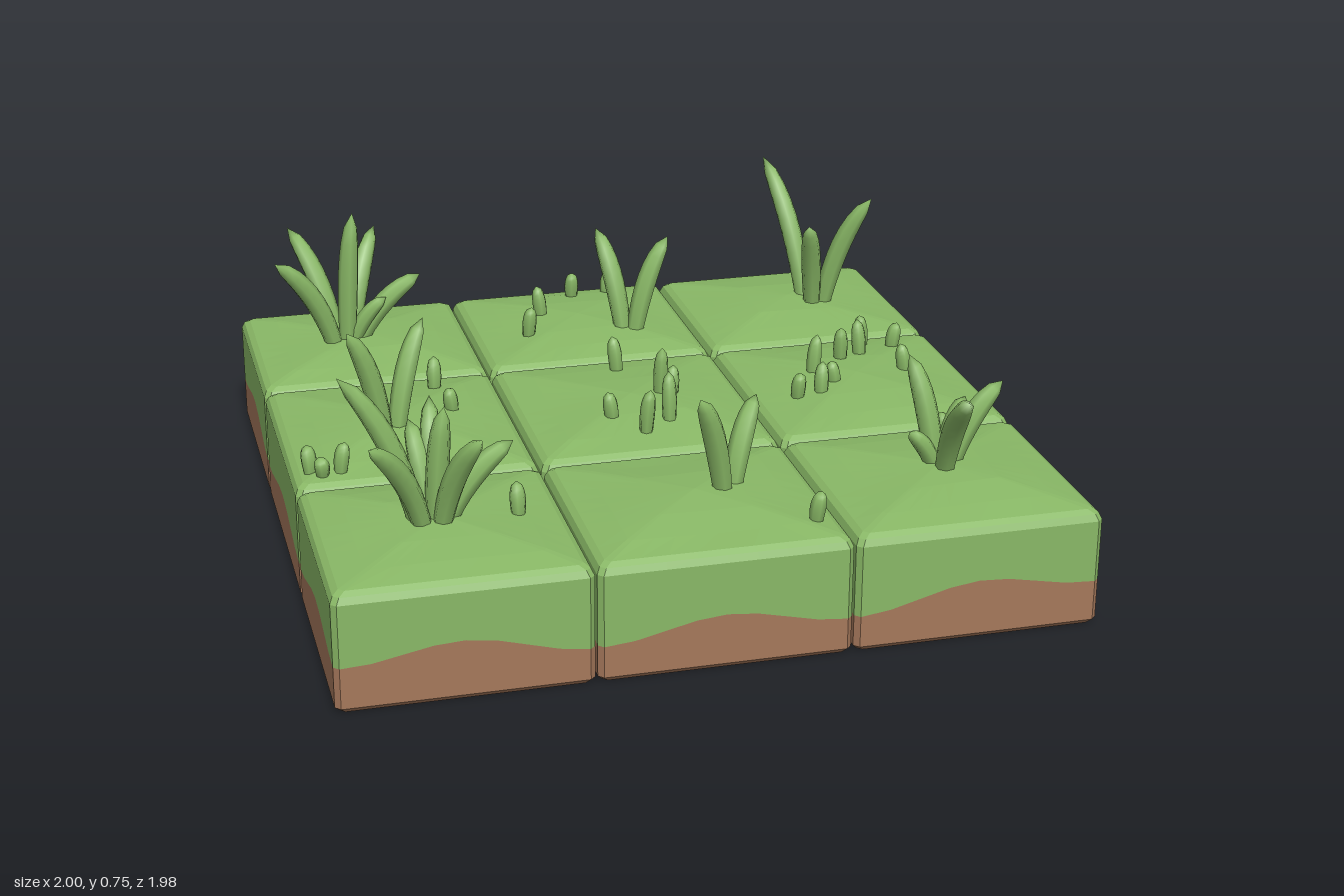
import * as THREE from 'three';
import { mergeVertices } from 'three/addons/utils/BufferGeometryUtils.js';

const grass = new THREE.MeshStandardMaterial({ color: 0x89b866 });
grass.name = 'grass green';
const soil = new THREE.MeshStandardMaterial({ color: 0xa5785b });
soil.name = 'soil brown';

const lerp = THREE.MathUtils.lerp;
const SEG = 8; // segments along each side of a tile

// One square of turf: stacked outline rows, wavy soil line, domed top
function tile(x0, x1, z0, z1) {
  const cx = (x0 + x1) / 2, cz = (z0 + z1) / 2;
  const hx = (x1 - x0) / 2, hz = (z1 - z0) / 2;
  const chamfer = 0.014;
  const cornerY = (sx, sz) => (Math.abs(cx + sx * hx) > 0.9 && Math.abs(cz + sz * hz) > 0.9 ? 0.125 : 0.1);
  // front, right, back, left: start corner and end corner
  const corners = [[-1, 1], [1, 1], [1, -1], [-1, -1]];

  function row(inset, scale, y, wavy, bumpy) {
    const pts = [];
    for (let s = 0; s < 4; s++) {
      const a = corners[s], b = corners[(s + 1) % 4];
      const dx = (b[0] - a[0]) / 2, dz = (b[1] - a[1]) / 2;
      for (let i = 0; i <= SEG; i++) {
        const t = i / SEG, u = 2 * t - 1;
        // position along the side, then outward distance to the side
        const px = dx ? dx * u * (hx - inset - chamfer) : a[0] * (hx - inset);
        const pz = dz ? dz * u * (hz - inset - chamfer) : a[1] * (hz - inset);
        const x = cx + px * scale, z = cz + pz * scale;
        let h = y;
        if (wavy) h = lerp(cornerY(...a), cornerY(...b), t) + 0.052 * Math.sin(Math.PI * t) ** 2;
        if (bumpy) h += 0.004 * Math.sin(x * 9 + z * 5) * Math.cos(z * 7 - x * 3);
        pts.push([x, h, z]);
      }
    }
    return pts;
  }

  const rows = [
    row(0, 0, 0), row(0.012, 1, 0), row(0, 1, 0.014), row(0, 1, 0, true),
    row(0, 1, 0.295), row(0.008, 1, 0.313), row(0.024, 1, 0.323),
    row(0.024, 0.75, 0.336, false, true), row(0.024, 0.4, 0.35, false, true), row(0, 0, 0.358),
  ];
  const pos = [];
  let soilCount = 0;
  for (let r = 0; r < rows.length - 1; r++) {
    const n = rows[r].length;
    for (let j = 0; j < n; j++) {
      const k = (j + 1) % n;
      const a = rows[r][j], b = rows[r][k], c = rows[r + 1][k], d = rows[r + 1][j];
      if (r > 0) pos.push(...a, ...b, ...c);
      if (r === 0) pos.push(...a, ...c, ...d);
      else if (r < rows.length - 2) pos.push(...a, ...c, ...d);
    }
    if (r === 2) soilCount = pos.length / 3;
  }
  const geo = new THREE.BufferGeometry();
  geo.setAttribute('position', new THREE.Float32BufferAttribute(pos, 3));
  geo.computeVertexNormals();
  geo.addGroup(0, soilCount, 0);
  geo.addGroup(soilCount, pos.length / 3 - soilCount, 1);
  const mesh = new THREE.Mesh(geo, [soil, grass]);
  mesh.name = 'turfTile';
  return mesh;
}

// Curved leaf: a tube whose radius swells, then tapers to the tip
function blade(bx, bz, tx, tz, top, radius, name = 'grassBlade') {
  const base = new THREE.Vector3(bx, 0.325, bz);
  const tip = new THREE.Vector3(tx, top, tz);
  const mid = new THREE.Vector3(lerp(bx, tx, 0.28), lerp(0.325, top, 0.66), lerp(bz, tz, 0.28));
  const curve = new THREE.QuadraticBezierCurve3(base, mid, tip);
  const rings = 9, sides = 7;
  const geo = new THREE.TubeGeometry(curve, rings, radius, sides);
  const p = geo.attributes.position, v = new THREE.Vector3();
  for (let i = 0; i <= rings; i++) {
    const t = i / rings, c = curve.getPointAt(t);
    const k = (0.75 + 0.6 * t) * Math.sqrt(1 - t ** 2.2);
    for (let j = 0; j <= sides; j++) {
      const n = i * (sides + 1) + j;
      v.fromBufferAttribute(p, n).sub(c).multiplyScalar(k).add(c);
      p.setXYZ(n, v.x, v.y, v.z);
    }
  }
  geo.deleteAttribute('uv');
  geo.deleteAttribute('normal');
  const smooth = mergeVertices(geo, 1e-4);
  smooth.computeVertexNormals();
  const mesh = new THREE.Mesh(smooth, grass);
  mesh.name = name;
  return mesh;
}

// Tufts: base x, z, then blades as tip x, z, height
const TUFTS = [
  { at: [-0.69, 0.66], tips: [[-0.92, 0.66, 0.75], [-0.48, 0.66, 0.54], [-0.67, 0.53, 0.63], [-0.73, 0.55, 0.58],
    [-0.87, 0.82, 0.62], [-0.59, 0.83, 0.62], [-0.66, 0.69, 0.66]] },
  { at: [-0.72, -0.66], tips: [[-0.86, -0.84, 0.65], [-0.6, -0.83, 0.64], [-0.93, -0.57, 0.63], [-0.69, -0.64, 0.745],
    [-0.49, -0.67, 0.53], [-0.55, -0.74, 0.46], [-0.6, -0.63, 0.48]] },
  { at: [0.74, -0.65], tips: [[0.64, -0.88, 0.75], [0.89, -0.56, 0.69], [0.68, -0.52, 0.63]] },
  { at: [0.68, 0.64], tips: [[0.85, 0.63, 0.56], [0.65, 0.9, 0.62], [0.61, 0.56, 0.63], [0.77, 0.57, 0.5], [0.58, 0.66, 0.45]] },
  { at: [0.12, -0.54], tips: [[0.05, -0.67, 0.63], [0.25, -0.57, 0.62]] },
  { at: [0.09, 0.65], tips: [[0.19, 0.56, 0.56], [-0.01, 0.73, 0.63]] },
  { at: [-0.7, 0.06], tips: [[-0.59, -0.03, 0.63], [-0.82, 0.12, 0.66]] },
];

// Little sprouts: x, z, top height
const SPROUTS = [
  [0.02, -0.88, 0.42], [0.14, -0.91, 0.4], [-0.11, -0.72, 0.44], [-0.18, -0.58, 0.43],
  [-0.53, -0.23, 0.43], [-0.51, -0.05, 0.41], [-0.75, 0, 0.46], [-0.95, 0.25, 0.4], [-0.92, 0.28, 0.38], [-0.87, 0.27, 0.41],
  [0.01, -0.24, 0.44], [0.08, -0.01, 0.49], [0.11, 0, 0.43], [-0.09, 0.12, 0.42], [-0.02, 0.22, 0.46], [0.06, 0.17, 0.48],
  [0.77, -0.27, 0.43], [0.85, -0.23, 0.41], [0.73, -0.17, 0.45], [0.66, -0.14, 0.45], [0.55, -0.06, 0.46],
  [0.82, -0.03, 0.42], [0.46, 0.08, 0.41], [0.53, 0.08, 0.43], [0.59, 0.02, 0.41],
  [0.26, 0.87, 0.41], [-0.47, 0.66, 0.42], [0.75, 0.47, 0.42],
];

export function createModel() {
  const model = new THREE.Group();
  model.name = 'grassPatch';

  // Three by three tiles with narrow gaps
  const ground = new THREE.Group();
  ground.name = 'ground';
  const xs = [-1, -0.342, 0.33, 1], zs = [-0.99, -0.362, 0.345, 0.99], gap = 0.003;
  for (let i = 0; i < 3; i++) {
    for (let j = 0; j < 3; j++) {
      ground.add(tile(xs[i] + (i ? gap : 0), xs[i + 1] - (i < 2 ? gap : 0),
        zs[j] + (j ? gap : 0), zs[j + 1] - (j < 2 ? gap : 0)));
    }
  }
  model.add(ground);

  for (const { at: [x, z], tips } of TUFTS) {
    const tuft = new THREE.Group();
    tuft.name = 'grassTuft';
    for (const [tx, tz, top] of tips) {
      // each blade starts slightly towards its own tip
      const bx = lerp(x, tx, 0.16), bz = lerp(z, tz, 0.16);
      tuft.add(blade(bx, bz, tx, tz, top, top < 0.5 ? 0.026 : 0.033));
    }
    model.add(tuft);
  }

  const sprouts = new THREE.Group();
  sprouts.name = 'sprouts';
  SPROUTS.forEach(([x, z, top], i) => {
    sprouts.add(blade(x, z, x + 0.015 * Math.sin(i * 2.3), z + 0.015 * Math.cos(i * 2.3), top, 0.023, 'sprout'));
  });
  model.add(sprouts);
  return model;
}
